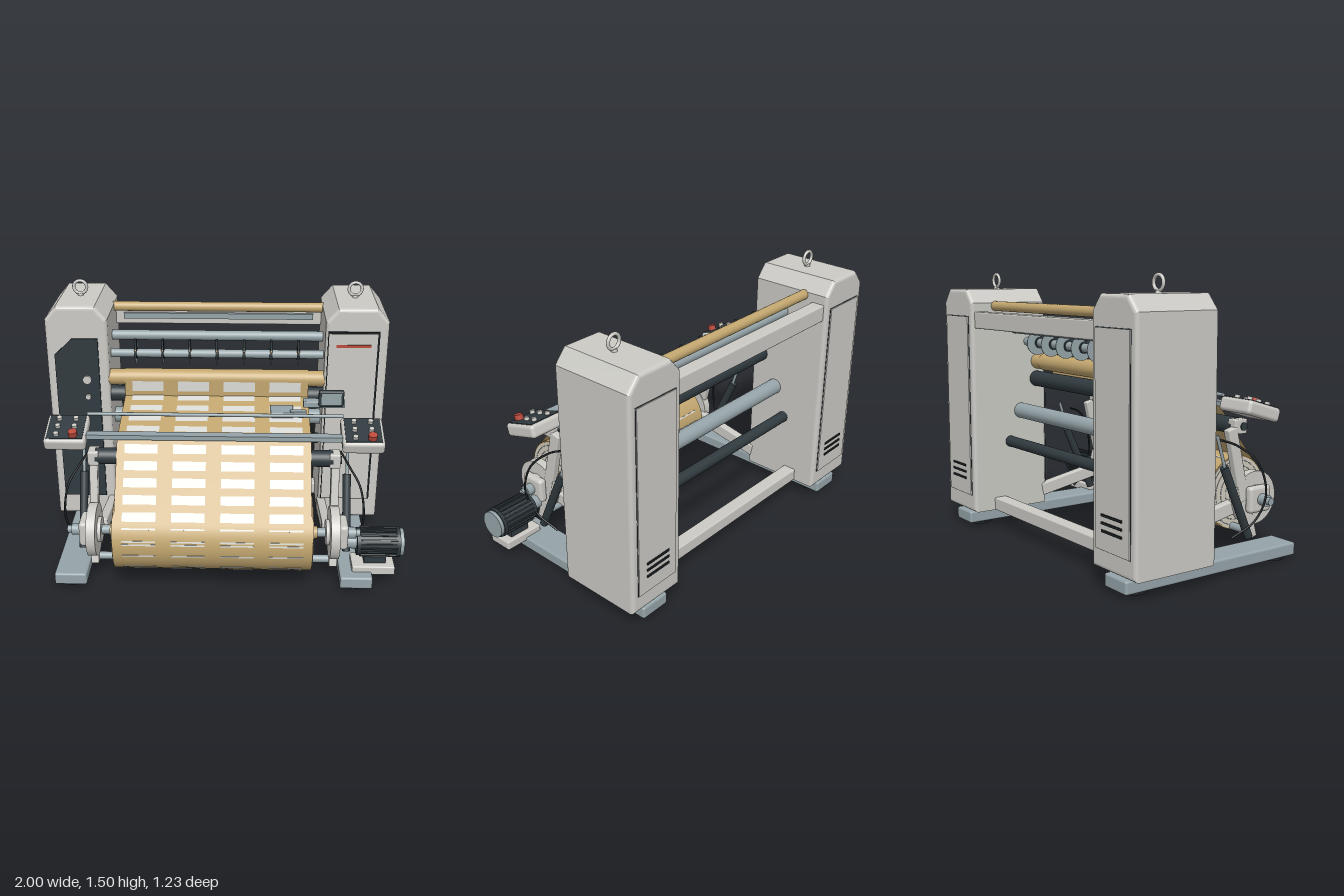
import * as THREE from 'three';
import { RoundedBoxGeometry } from 'three/addons/geometries/RoundedBoxGeometry.js';

const mat = (name, color, side = THREE.FrontSide) => {
  const m = new THREE.MeshStandardMaterial({ color, side });
  m.name = name;
  return m;
};

export function createModel() {
  const body = mat('light grey paint', 0xcbcac5);
  const steel = mat('blue grey steel', 0x95a4a9);
  const dark = mat('dark slate', 0x303a3f);
  const gold = mat('kraft paper', 0xc2a66f, THREE.DoubleSide);
  const label = mat('label white', 0xdadbd6, THREE.DoubleSide);
  const red = mat('signal red', 0xb94a3c);
  const cream = mat('roll end', 0xcfcabd);
  const black = mat('rubber black', 0x1d2123);

  const root = new THREE.Group();
  const model = new THREE.Group();
  model.name = 'slittingMachine';
  model.position.x = -0.0425;
  root.add(model);

  const add = (name, geo, m, x = 0, y = 0, z = 0, parent = model) => {
    const mesh = new THREE.Mesh(geo, m);
    mesh.name = name;
    mesh.position.set(x, y, z);
    parent.add(mesh);
    return mesh;
  };
  const box = (name, m, w, h, d, x, y, z, parent) =>
    add(name, new THREE.BoxGeometry(w, h, d), m, x, y, z, parent);
  const soft = (name, m, w, h, d, x, y, z, r = 0.012, parent = model) =>
    add(name, new RoundedBoxGeometry(w, h, d, 3, r), m, x, y, z, parent);
  // cylinder lying along x
  const rod = (name, m, r, x0, x1, y, z, seg = 32) =>
    add(name, new THREE.CylinderGeometry(r, r, Math.abs(x1 - x0), seg).rotateZ(Math.PI / 2), m, (x0 + x1) / 2, y, z);
  // lengthwise part spanning two [y, z] points in a side plane
  const span = (name, m, x, [y0, z0], [y1, z1], make) => {
    const mesh = add(name, make(Math.hypot(y1 - y0, z1 - z0)), m, x, (y0 + y1) / 2, (z0 + z1) / 2);
    mesh.rotation.x = Math.atan2(z0 - z1, y0 - y1);
    return mesh;
  };
  const polygon = pts => new THREE.Shape(pts.map(p => new THREE.Vector2(...p)));

  // side towers with chamfered tops
  const b = 0.02, w = 0.175 - b;
  const towerShape = polygon([[-w, 0.105 + b], [w, 0.105 + b], [w, 1.325], [0.1, 1.41 - b], [-0.1, 1.41 - b], [-w, 1.325]]);
  for (const s of [-1, 1]) {
    const x = s * 0.7825;
    add('tower', new THREE.ExtrudeGeometry(towerShape, {
      depth: 0.485 - 2 * b, bevelEnabled: true, bevelSize: b, bevelThickness: b, bevelSegments: 4 }), body, x, 0, -0.6 + b);
    add('liftingEye', new THREE.TorusGeometry(0.037, 0.009, 12, 32), body, x, 1.458, -0.34);
    add('eyeBase', new THREE.CylinderGeometry(0.014, 0.018, 0.02, 16), body, x, 1.414, -0.34);
    // rear service panel and vents
    box('rearPanelGap', dark, 0.276, 1.056, 0.006, x, 0.73, -0.6);
    box('rearPanel', body, 0.27, 1.05, 0.012, x, 0.73, -0.602);
    for (let i = 0; i < 3; i++) box('ventSlot', black, 0.16, 0.012, 0.008, x, 0.3 + i * 0.038, -0.61);
    // base rail and feet
    soft('baseRail', steel, 0.177, 0.07, 1.115, x, 0.055, -0.033);
    for (const z of [0.43, -0.477]) add('foot', new THREE.CylinderGeometry(0.065, 0.065, 0.024, 32), black, x, 0.012, z);
    box('towerMount', steel, 0.12, 0.02, 0.09, x, 0.098, -0.45);
  }

  // left tower control panel
  const panel = polygon([[-0.91, 0.235], [-0.663, 0.235], [-0.663, 1.227], [-0.81, 1.227], [-0.91, 1.13]]);
  add('darkPanel', new THREE.ExtrudeGeometry(panel, { depth: 0.012, bevelEnabled: false }), dark, 0, 0, -0.116);
  for (const [y, r] of [[0.985, 0.025], [0.88, 0.016]])
    add('panelKnob', new THREE.CylinderGeometry(r, r, 0.02, 24).rotateX(Math.PI / 2), body, -0.733, y, -0.1);

  // right tower door
  box('doorGap', black, 0.286, 1.047, 0.012, 0.764, 0.757, -0.112);
  box('door', body, 0.27, 1.03, 0.014, 0.76, 0.755, -0.108);
  box('doorStripe', red, 0.193, 0.016, 0.006, 0.764, 1.2, -0.1);

  // cross beams
  soft('upperBeam', body, 1.24, 0.095, 0.08, 0, 1.235, -0.54, 0.008);
  soft('lowerBeam', body, 1.24, 0.075, 0.08, 0, 0.142, -0.43, 0.008);
  box('beamTray', steel, 1.12, 0.034, 0.02, 0, 1.242, -0.49);

  // rollers between the towers: material, radius, y, z
  for (const [name, m, r, y, z] of [
    ['topPaperRoller', gold, 0.028, 1.313, -0.445],
    ['upperGuideRoller', steel, 0.029, 1.18, -0.32],
    ['knifeShaft', steel, 0.025, 1.1, -0.235],
    ['paperRoller', gold, 0.046, 0.98, -0.165],
    ['rubberRoller', dark, 0.046, 0.875, -0.175],
    ['steelRoller', steel, 0.045, 0.69, -0.285],
    ['lowerRubberRoller', dark, 0.032, 0.51, -0.36],
  ]) rod(name, m, r, -0.62, 0.62, y, z);

  // slitting knives
  for (let i = -3; i <= 3; i++) {
    const x = i * 0.155;
    rod('knifeBlade', steel, 0.07, x - 0.002, x + 0.002, 1.1, -0.25);
    rod('knifeCollar', dark, 0.033, x - 0.008, x + 0.008, 1.1, -0.235, 20);
    box('knifeHolder', dark, 0.014, 0.07, 0.03, x, 1.155, -0.215);
    box('knifeClamp', gold, 0.012, 0.016, 0.006, x, 1.125, -0.198);
  }

  // paper web: path points [y, z]
  const webW = 1.045;
  const sheet = (name, m, width, x, p, q) => span(name, m, x, p, q, len => new THREE.PlaneGeometry(width, len));
  const columns = [-0.39, -0.13, 0.13, 0.39];
  const labels = (p, q, centres, half) => {
    const len = Math.hypot(p[0] - q[0], p[1] - q[1]);
    const dy = (q[0] - p[0]) / len, dz = (q[1] - p[1]) / len, o = 0.003;
    const at = t => [p[0] + dy * t + dz * o, p[1] + dz * t - dy * o];
    for (const t of centres) for (const x of columns) sheet('label', label, 0.178, x, at(t - half), at(t + half));
  };
  const path = [[0.98, -0.115], [0.885, -0.115], [0.802, 0.285], [0.437, 0.57]];
  rod('webWrap', gold, 0.05, -webW / 2, webW / 2, 0.98, -0.165, 40);
  for (let i = 0; i < 3; i++) sheet('paperWeb', gold, webW, 0, path[i], path[i + 1]);
  labels(path[0], path[1], [0.036], 0.03);
  labels(path[1], path[2], [0.025, 0.123, 0.221, 0.319], 0.025);
  labels(path[2], path[3], [0.055, 0.147, 0.239, 0.331, 0.423], 0.025);

  // finished roll
  const RY = 0.31, RZ = 0.41, R = 0.205;
  rod('paperRoll', gold, R, -0.53, 0.53, RY, RZ, 72);
  for (let deg = -350; deg < 20; deg += 48) for (const off of [0, 19]) {
    const a = (deg + off + 3) * Math.PI / 180;
    for (const x of columns) {
      const dash = box('rollLabel', label, 0.178, 0.009, 0.004, x, RY + R * Math.sin(a), RZ + R * Math.cos(a));
      dash.rotation.x = -a;
    }
  }
  for (const s of [-1, 1]) {
    rod('rollEnd', cream, 0.198, s * 0.528, s * 0.533, RY, RZ, 64);
    for (const r of [0.08, 0.115, 0.15, 0.18])
      add('rollRing', new THREE.TorusGeometry(r, 0.0018, 6, 64).rotateY(Math.PI / 2), steel, s * 0.533, RY, RZ);
    rod('rollCore', gold, 0.034, s * 0.53, s * 0.565, RY, RZ);
    rod('chuck', steel, 0.026, s * 0.56, s * 0.64, RY, RZ);
  }

  // winder arms, discs, dampers, cables and consoles
  for (const s of [-1, 1]) {
    const beam = (bw, bd) => len => new RoundedBoxGeometry(bw, len, bd, 2, 0.008);
    rod('brakeDisc', body, 0.145, s * 0.63, s * 0.68, RY, RZ, 48);
    rod('discHub', body, 0.07, s * 0.61, s * 0.70, RY, RZ);
    soft('bearingBlock', body, 0.05, 0.145, 0.15, s * 0.705, RY, RZ - 0.005, 0.02);
    rod('shaftEnd', steel, 0.032, s * 0.72, s * 0.775, RY, RZ);
    rod('shaftTip', steel, 0.02, s * 0.77, s * 0.8, RY, RZ);
    span('upperArm', body, s * 0.66, [0.7, 0.24], [0.3, 0.335], beam(0.045, 0.065));
    span('armFoot', body, s * 0.66, [0.31, 0.335], [0.09, 0.4], beam(0.045, 0.06));
    span('swingLink', body, s * 0.625, [0.27, 0.3], [0.185, -0.14], beam(0.05, 0.075));
    soft('rollerBlock', body, 0.06, 0.08, 0.085, s * 0.65, 0.705, 0.3, 0.008);
    rod('blockCap', dark, 0.022, s * 0.678, s * 0.686, 0.705, 0.315, 24);
    const cyl = r => len => new THREE.CylinderGeometry(r, r, len, 20);
    span('damperBody', dark, s * 0.742, [0.52, 0.125], [0.125, 0.305], cyl(0.023));
    span('damperRod', steel, s * 0.742, [0.69, 0.075], [0.5, 0.135], cyl(0.009));
    const cable = new THREE.CatmullRomCurve3([[0.7, 0.66, 0.12], [0.74, 0.62, 0.22], [0.8, 0.53, 0.31],
      [0.82, 0.36, 0.35], [0.79, 0.22, 0.3], [0.75, 0.14, 0.18]].map(([x, y, z]) => new THREE.Vector3(s * x, y, z)));
    add('cable', new THREE.TubeGeometry(cable, 40, 0.006, 8), black);

    // tilted operator console
    const con = new THREE.Group();
    con.name = 'console';
    con.position.set(s * 0.798, 0.817, 0.242);
    con.rotation.x = 0.29;
    model.add(con);
    soft('consoleBox', body, 0.226, 0.074, 0.225, 0, 0, 0, 0.02, con);
    box('consolePlate', dark, 0.195, 0.008, 0.19, 0, 0.036, 0, con);
    for (let r = 0; r < 3; r++) for (const c of [-1, 1]) {
      const stop = r === 2 && c === 1, rad = stop ? 0.024 : 0.014;
      add(stop ? 'stopButton' : 'button', new THREE.CylinderGeometry(rad, rad, stop ? 0.03 : 0.018, 20),
        stop ? red : body, c * 0.045, stop ? 0.054 : 0.048, -0.06 + r * 0.064, con);
    }
  }
  rod('armRoller', dark, 0.045, -0.64, 0.64, 0.705, 0.3);
  rod('lowerTieBar', steel, 0.022, -0.64, 0.64, 0.125, 0.385);
  box('frontBar', steel, 1.39, 0.026, 0.052, 0, 0.817, 0.278);
  rod('rearBar', steel, 0.01, -0.7, 0.7, 0.887, 0.15, 16);

  // web sensor and display
  soft('sensorBox', steel, 0.126, 0.06, 0.116, 0.37, 0.845, 0.03, 0.006);
  box('sensorStem', steel, 0.09, 0.02, 0.03, 0.46, 0.872, 0.07);
  soft('displayArm', steel, 0.23, 0.038, 0.055, 0.6, 0.922, 0.052, 0.006);
  soft('display', dark, 0.138, 0.095, 0.032, 0.634, 0.973, 0.105, 0.01);
  box('displayScreen', steel, 0.108, 0.064, 0.005, 0.634, 0.975, 0.121);

  // drive motor
  const MY = 0.237, MZ = 0.378;
  rod('motorBody', dark, 0.077, 0.785, 1.015, MY, MZ, 40);
  for (let i = 0; i < 20; i++) {
    const a = i / 20 * Math.PI * 2;
    box('motorFin', dark, 0.2, 0.012, 0.008, 0.905, MY + 0.079 * Math.sin(a), MZ + 0.079 * Math.cos(a)).rotation.x = Math.PI / 2 - a;
  }
  rod('motorFlange', dark, 0.084, 1.0, 1.02, MY, MZ, 40);
  rod('motorCap', steel, 0.076, 1.018, 1.04, MY, MZ, 40);
  rod('motorShaft', steel, 0.04, 0.72, 0.79, MY, MZ);
  soft('motorBase', body, 0.235, 0.052, 0.148, 0.88, 0.097, 0.386, 0.008);
  box('motorPedestal', dark, 0.12, 0.06, 0.08, 0.89, 0.145, 0.38);
  return root;
}
